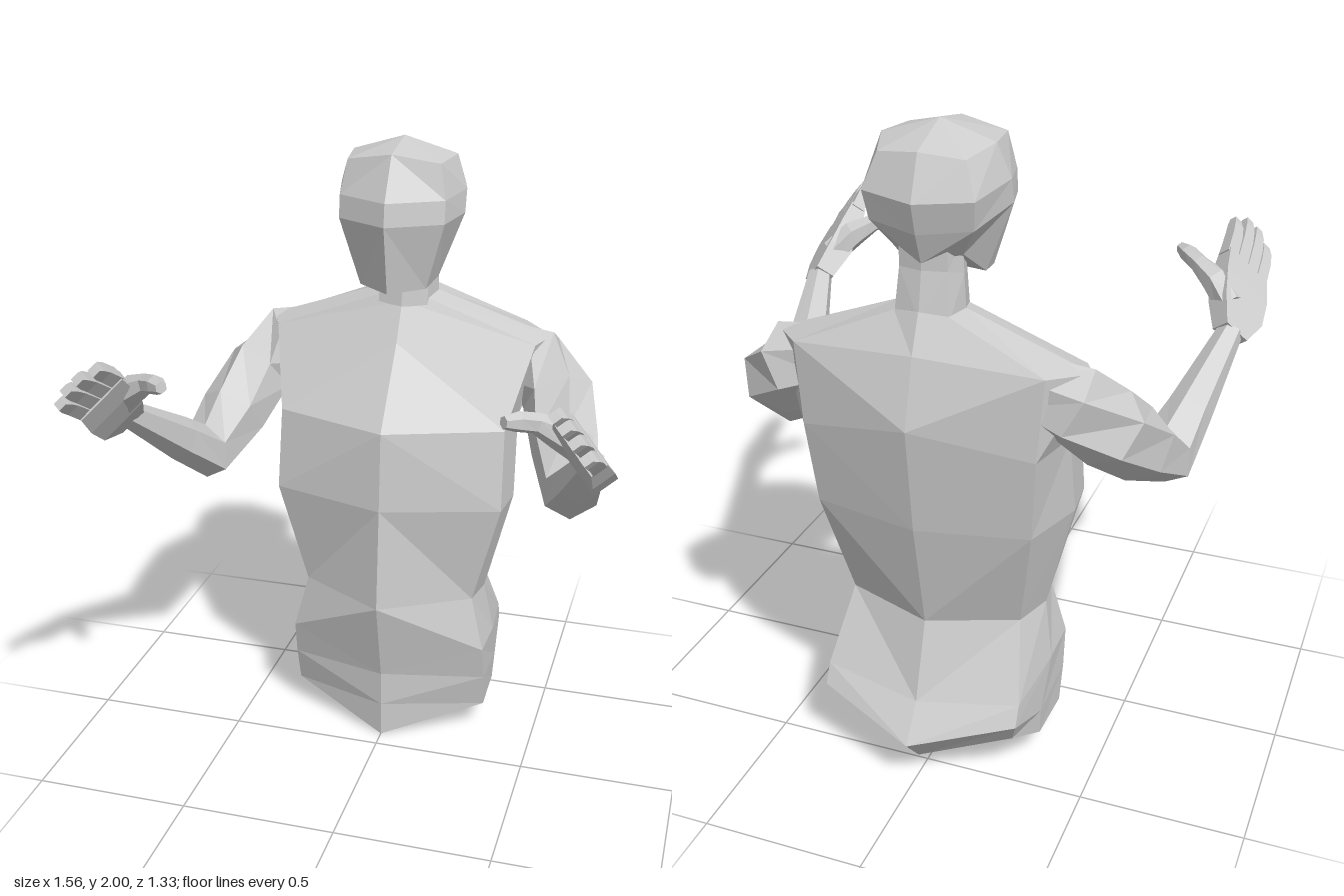
import * as THREE from 'three';

const clay = new THREE.MeshStandardMaterial({ color: 0xcccccc, flatShading: true });
clay.name = 'light grey clay';

const V = (p) => new THREE.Vector3(...p);

// Closed flat-shaded loft through rings of points; caps are fans around a centre.
function loft(name, rings, startCentre, endCentre) {
  const n = rings[0].length;
  const mean = (r) => r.reduce((s, p) => s.add(p), new THREE.Vector3()).divideScalar(n);
  const a = startCentre ? V(startCentre) : mean(rings[0]);
  const b = endCentre ? V(endCentre) : mean(rings[rings.length - 1]);
  const tris = [];
  for (let j = 0; j < n; j++) {
    const k = (j + 1) % n;
    tris.push([a, rings[0][k], rings[0][j]]);
    for (let i = 0; i + 1 < rings.length; i++) {
      const [p, q] = [rings[i], rings[i + 1]];
      // the diagonals of the two halves mirror each other
      if (j < n / 2) tris.push([p[j], p[k], q[j]], [p[k], q[k], q[j]]);
      else tris.push([p[j], p[k], q[k]], [p[j], q[k], q[j]]);
    }
    const last = rings[rings.length - 1];
    tris.push([b, last[j], last[k]]);
  }
  // turn all faces outward
  const volume = tris.reduce((s, [p, q, r]) => s + p.clone().sub(a).dot(q.clone().sub(a).cross(r.clone().sub(a))), 0);
  if (volume < 0) tris.forEach((t) => t.reverse());
  const geometry = new THREE.BufferGeometry().setFromPoints(tris.flat());
  geometry.computeVertexNormals();
  const mesh = new THREE.Mesh(geometry, clay);
  mesh.name = name;
  return mesh;
}

// Half ring (front centre, front side, side, back side, back centre) mirrored in x.
function fullRing(half) {
  const other = half.slice(1, -1).reverse().map(([x, y, z]) => [-x, y, z]);
  return [...half, ...other].map(V);
}

// Six-sided rings along a path of [x, y, z, radius].
function limbRings(path, m) {
  const pts = path.map((p) => V(p.slice(0, 3)));
  return pts.map((c, i) => {
    const dir = new THREE.Vector3();
    if (i > 0) dir.add(c.clone().sub(pts[i - 1]).normalize());
    if (i + 1 < pts.length) dir.add(pts[i + 1].clone().sub(c).normalize());
    dir.normalize();
    const side = dir.clone().cross(new THREE.Vector3(0, 1, 0)).normalize();
    const up = side.clone().cross(dir);
    return Array.from({ length: 6 }, (_, j) => {
      const t = (j + 0.5) * Math.PI / 3;
      const p = c.clone().addScaledVector(side, Math.cos(t) * path[i][3]).addScaledVector(up, Math.sin(t) * path[i][3]);
      p.x *= m;
      return p;
    });
  });
}

// Hand axes: across the knuckles (index to little finger) and out of the palm.
const across = new THREE.Vector3(0.67, -0.7, 0.28).normalize();
const palmOut = across.clone().cross(new THREE.Vector3(0, 0.5, 0.86)).normalize();

// Rectangular ring on the hand axes.
function quad(c, w, t, m) {
  return [[1, 1], [-1, 1], [-1, -1], [1, -1]].map(([u, v]) => {
    const p = V(c).addScaledVector(across, u * w).addScaledVector(palmOut, v * t);
    p.x *= m;
    return p;
  });
}

function buildArm(m) {
  const arm = new THREE.Group();
  arm.name = m > 0 ? 'leftArm' : 'rightArm';

  // upper arm and forearm
  arm.add(loft('armAndForearm', limbRings([
    [0.28, 1.32, -0.43, 0.09], [0.42, 1.28, -0.432, 0.118], [0.505, 1.19, -0.365, 0.118],
    [0.555, 1.08, -0.22, 0.112], [0.603, 0.985, -0.08, 0.093],
    [0.64, 1.08, 0.05, 0.07], [0.7, 1.25, 0.29, 0.04],
  ], m)));

  // palm
  arm.add(loft('palm', [
    quad([0.7, 1.24, 0.28], 0.045, 0.032, m), quad([0.697, 1.28, 0.36], 0.083, 0.04, m),
    quad([0.692, 1.335, 0.43], 0.092, 0.036, m), quad([0.688, 1.385, 0.49], 0.086, 0.026, m),
  ]));

  // four fingers, from index to little finger
  const lengths = [0.15, 0.185, 0.185, 0.155];
  lengths.forEach((len, i) => {
    const base = new THREE.Vector3(0.688, 1.38, 0.48).addScaledVector(across, (i - 1.5) * 0.045);
    const along = (f, curl) => base.clone()
      .add(new THREE.Vector3(0, 0.5 * len * f, 0.86 * len * f))
      .addScaledVector(palmOut, curl).toArray();
    arm.add(loft('finger', [
      quad(along(0, 0), 0.021, 0.022, m), quad(along(0.55, 0), 0.02, 0.02, m),
      quad(along(0.85, 0.006), 0.018, 0.018, m), quad(along(1.05, 0.014), 0.013, 0.013, m),
    ]));
  });

  // thumb
  arm.add(loft('thumb', limbRings([
    [0.68, 1.31, 0.35, 0.045], [0.62, 1.37, 0.395, 0.045], [0.56, 1.405, 0.425, 0.03],
    [0.515, 1.42, 0.465, 0.029], [0.485, 1.425, 0.495, 0.018],
  ], m)));
  return arm;
}

export function createModel() {
  const model = new THREE.Group();
  model.name = 'upperBody';

  // torso, from pelvis to neck base
  model.add(loft('torso', [
    [[0, 0, -0.06], [0.33, 0.1, -0.19], [0.325, 0.1, -0.37], [0.28, 0.16, -0.5], [0, 0.07, -0.57]],
    [[0, 0.12, -0.06], [0.333, 0.22, -0.165], [0.33, 0.19, -0.38], [0.31, 0.25, -0.56], [0, 0.17, -0.66]],
    [[0, 0.24, -0.06], [0.33, 0.34, -0.14], [0.335, 0.34, -0.3], [0.31, 0.31, -0.53], [0, 0.28, -0.58]],
    [[0, 0.52, 0], [0.285, 0.52, -0.16], [0.305, 0.52, -0.27], [0.27, 0.53, -0.41], [0, 0.52, -0.5]],
    [[0, 0.86, -0.03], [0.375, 0.86, -0.14], [0.39, 0.86, -0.28], [0.33, 0.87, -0.5], [0, 0.87, -0.57]],
    [[0, 1.12, -0.05], [0.37, 1.12, -0.18], [0.385, 1.12, -0.33], [0.35, 1.13, -0.53], [0, 1.2, -0.61]],
    [[0, 1.36, -0.24], [0.43, 1.36, -0.335], [0.47, 1.37, -0.42], [0.37, 1.38, -0.525], [0, 1.4, -0.55]],
    [[0, 1.48, -0.31], [0.08, 1.49, -0.33], [0.1, 1.5, -0.4], [0.08, 1.5, -0.48], [0, 1.51, -0.5]],
  ].map(fullRing), [0, 0.03, -0.3]));

  // neck
  model.add(loft('neck', [
    [[0, 1.46, -0.3], [0.08, 1.47, -0.32], [0.1, 1.48, -0.4], [0.08, 1.48, -0.48], [0, 1.49, -0.5]],
    [[0, 1.59, -0.32], [0.08, 1.59, -0.34], [0.095, 1.6, -0.4], [0.07, 1.62, -0.46], [0, 1.62, -0.475]],
    [[0, 1.7, -0.32], [0.07, 1.7, -0.34], [0.09, 1.7, -0.4], [0.07, 1.7, -0.46], [0, 1.7, -0.475]],
  ].map(fullRing)));

  // head, from jaw to crown
  model.add(loft('head', [
    [[0, 1.555, -0.12], [0.105, 1.56, -0.195], [0.12, 1.575, -0.3], [0.1, 1.66, -0.42], [0, 1.64, -0.475]],
    [[0, 1.77, -0.08], [0.165, 1.77, -0.17], [0.2, 1.78, -0.3], [0.15, 1.745, -0.47], [0, 1.73, -0.51]],
    [[0, 1.84, -0.09], [0.165, 1.84, -0.18], [0.2, 1.85, -0.32], [0.16, 1.83, -0.49], [0, 1.82, -0.535]],
    [[0, 1.97, -0.17], [0.145, 1.945, -0.2], [0.165, 1.95, -0.34], [0.125, 1.93, -0.46], [0, 1.945, -0.485]],
  ].map(fullRing), [0, 1.585, -0.3], [0, 2, -0.33]));

  // arms
  for (const m of [1, -1]) model.add(buildArm(m));
  return model;
}
